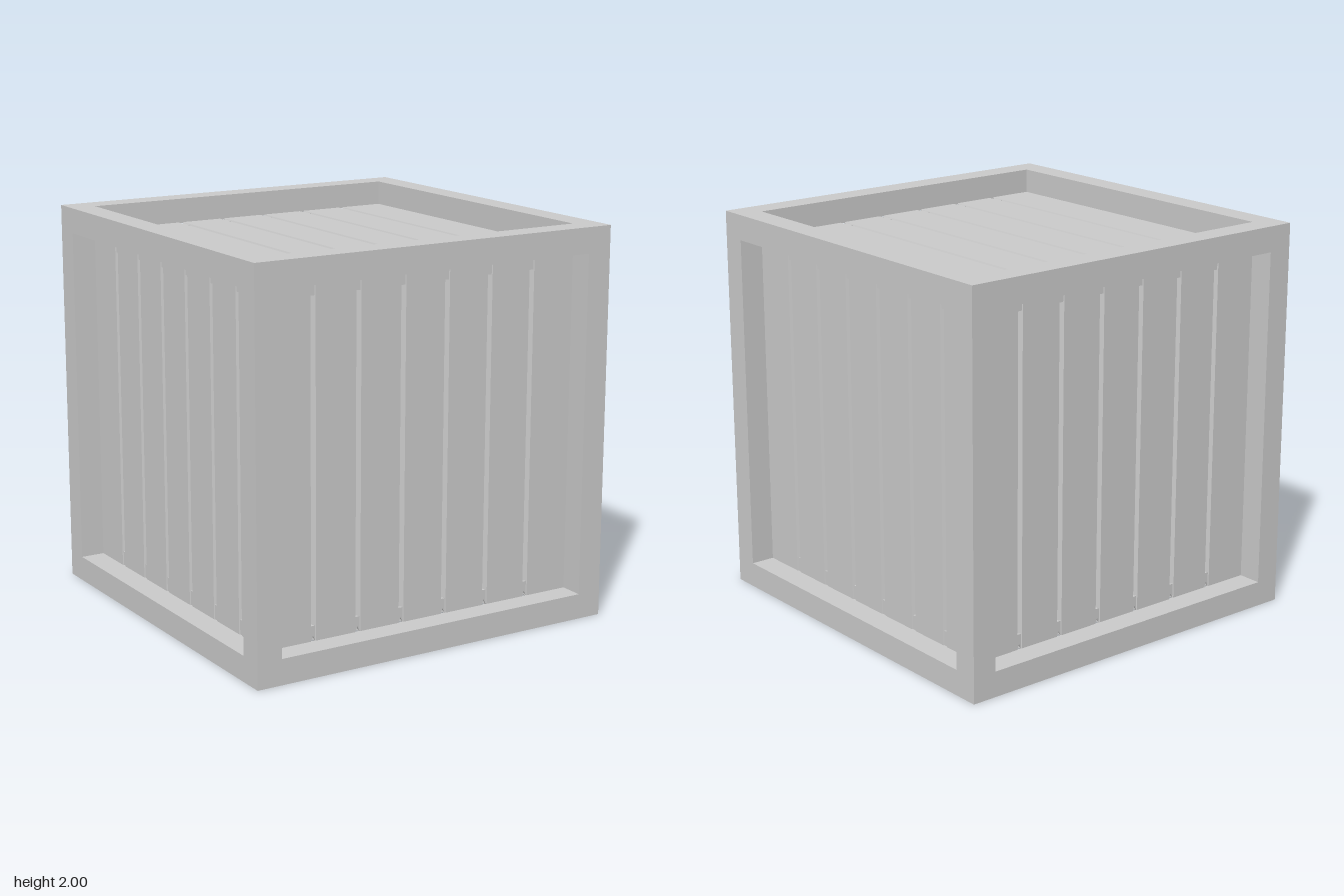
import * as THREE from 'three';

const BEAM = 0.13;           // width of the square frame timbers
const INNER = 2 - 2 * BEAM;  // opening inside the frame
const FACE = 0.875;          // distance from centre to plank surface
const PLANKS = 7;

// Board panel facing +z: plank strip cross-section with V grooves, swept upright
function panelGeometry() {
  const half = INNER / 2, pitch = INNER / PLANKS;
  const groove = 0.014, depth = 0.03;
  const s = new THREE.Shape();
  s.moveTo(-half, FACE - 0.08);
  s.lineTo(half, FACE - 0.08);
  s.lineTo(half, FACE);
  for (let i = PLANKS - 1; i > 0; i--) {
    const x = -half + i * pitch;
    s.lineTo(x + groove, FACE);
    s.lineTo(x, FACE - depth);
    s.lineTo(x - groove, FACE);
  }
  s.lineTo(-half, FACE);
  s.closePath();
  const geo = new THREE.ExtrudeGeometry(s, { depth: INNER, bevelEnabled: false });
  geo.translate(0, 0, -INNER / 2);
  geo.rotateX(Math.PI / 2);
  return geo;
}

export function createModel() {
  const crate = new THREE.Group();
  crate.name = 'crate';
  const material = new THREE.MeshStandardMaterial({ color: 0xcccccc, flatShading: true });

  const add = (name, geometry, x = 0, y = 0, z = 0) => {
    const mesh = new THREE.Mesh(geometry, material);
    mesh.name = name;
    mesh.position.set(x, y + 1, z);
    crate.add(mesh);
    return mesh;
  };

  // Frame: four full-height posts with rails fitted between them
  const post = new THREE.BoxGeometry(BEAM, 2, BEAM);
  const railX = new THREE.BoxGeometry(INNER, BEAM, BEAM);
  const railZ = new THREE.BoxGeometry(BEAM, BEAM, INNER);
  const c = 1 - BEAM / 2;
  for (const a of [-c, c]) {
    for (const b of [-c, c]) {
      add('cornerPost', post, a, 0, b);
      add('crossRail', railX, 0, a, b);
      add('sideRail', railZ, a, b, 0);
    }
  }

  // Six recessed plank panels
  const panel = panelGeometry();
  const q = Math.PI / 2;
  const sides = [
    ['frontPanel', 0, 0], ['leftPanel', 0, q], ['backPanel', 0, 2 * q],
    ['rightPanel', 0, -q], ['topPanel', -q, 0], ['bottomPanel', q, 0],
  ];
  for (const [name, rx, ry] of sides) add(name, panel).rotation.set(rx, ry, 0);

  return crate;
}
